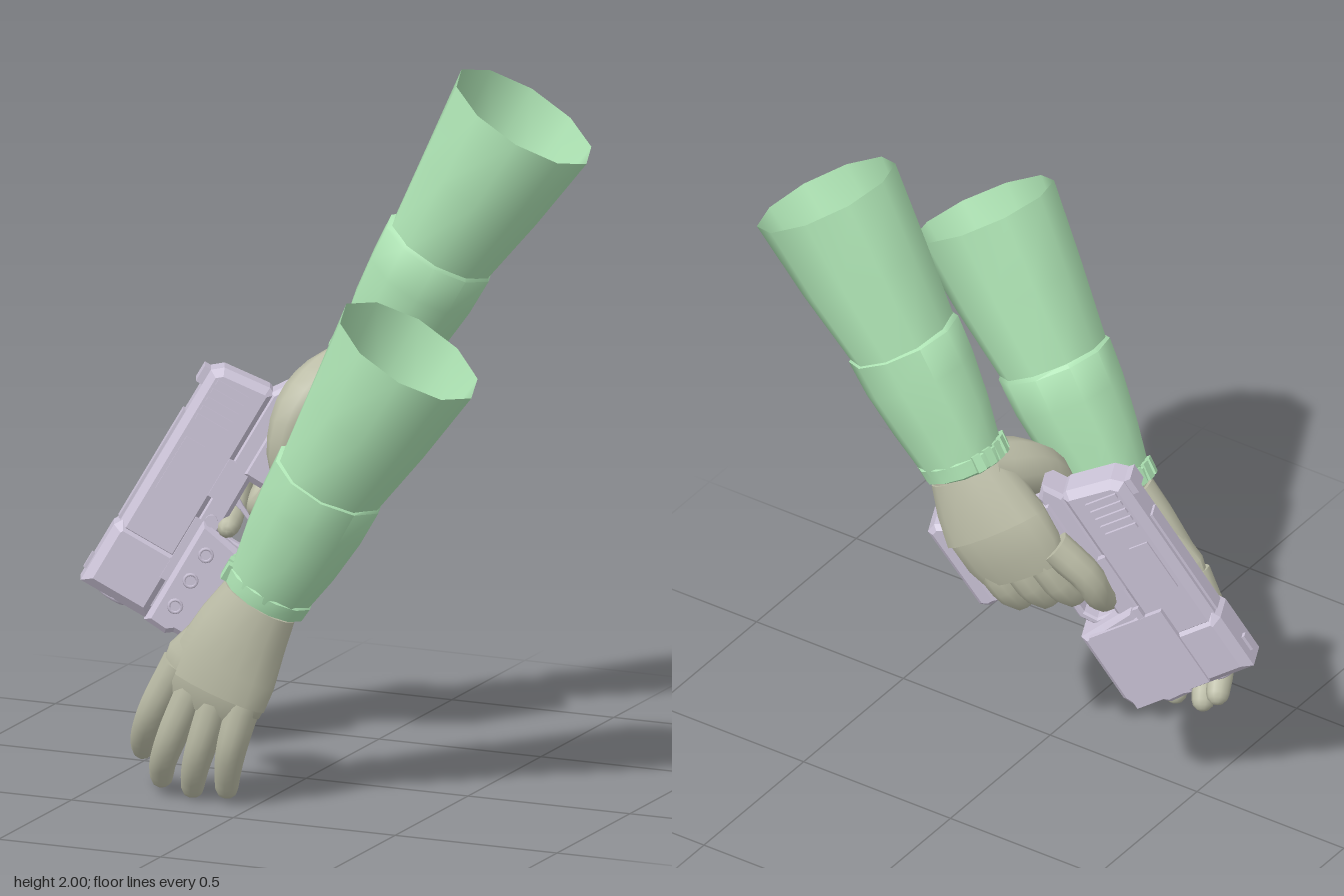
import * as THREE from 'three';
import { toCreasedNormals } from 'three/addons/utils/BufferGeometryUtils.js';

const V = (x, y, z) => new THREE.Vector3(x, y, z);
const green = new THREE.MeshStandardMaterial({ name: 'sleeveGreen', color: 0xaee4b4, side: THREE.DoubleSide });
const beige = new THREE.MeshStandardMaterial({ name: 'gloveBeige', color: 0xbdbea8 });
const gunGrey = new THREE.MeshStandardMaterial({ name: 'pistolGrey', color: 0xcac2d6 });

function add(group, name, geometry, material) {
  const mesh = new THREE.Mesh(geometry, material);
  mesh.name = name;
  group.add(mesh);
  return mesh;
}

// Elliptical cross-sections [x, y, z, radius along side, radius across] joined into a skin
function loft(sections, side, n = 12, capped = true) {
  const pos = [], idx = [], centers = sections.map(s => V(s[0], s[1], s[2]));
  const last = sections.length - 1;
  sections.forEach((s, i) => {
    const t = centers[Math.min(i + 1, last)].clone().sub(centers[Math.max(i - 1, 0)]).normalize();
    const a = side.clone().addScaledVector(t, -side.dot(t)).normalize();
    const b = t.clone().cross(a);
    for (let j = 0; j < n; j++) {
      const ang = (j / n) * Math.PI * 2;
      const p = centers[i].clone().addScaledVector(a, s[3] * Math.cos(ang)).addScaledVector(b, s[4] * Math.sin(ang));
      pos.push(p.x, p.y, p.z);
    }
  });
  for (let i = 0; i < last; i++) for (let j = 0; j < n; j++) {
    const k = (j + 1) % n, a = i * n + j, b = i * n + k;
    idx.push(a, b, b + n, a, b + n, a + n);
  }
  if (capped) {
    const c0 = pos.length / 3;
    pos.push(...centers[0].toArray(), ...centers[last].toArray());
    for (let j = 0; j < n; j++) {
      const k = (j + 1) % n;
      idx.push(c0, k, j, c0 + 1, last * n + j, last * n + k);
    }
  }
  const g = new THREE.BufferGeometry();
  g.setAttribute('position', new THREE.Float32BufferAttribute(pos, 3));
  g.setIndex(idx);
  return toCreasedNormals(g, 0.9);
}

// Finger: a tapering curved tube with a round tip
function finger(points, r0, r1, side) {
  const curve = new THREE.CatmullRomCurve3(points.map(p => V(...p)));
  const steps = 10, rings = [];
  for (let i = 0; i <= steps; i++) {
    const u = i / steps, r = r0 + (r1 - r0) * u;
    rings.push([...curve.getPoint(u).toArray(), r, r]);
  }
  const end = curve.getPoint(1), dir = curve.getTangent(1);
  for (const [k, f] of [[0.45, 0.86], [0.8, 0.52], [0.92, 0.2]])
    rings.push([...end.clone().addScaledVector(dir, r1 * k).toArray(), r1 * f, r1 * f]);
  return loft(rings, side, 10);
}

const armSide = V(0.86, -0.51, 0), armAxis = V(-0.51, -0.86, 0);

// Sleeve in two tiers with a wristband; m mirrors it in z, dy lifts it
function sleeve(name, m, dy) {
  const g = new THREE.Group();
  g.name = name;
  const place = list => list.map(([x, y, z, a, b]) => [x, y + dy, z * m, a, b]);
  add(g, 'upperSleeve', loft(place([
    [0.495, 1.385, 0.395, 0.226, 0.205], [0.37, 1.18, 0.387, 0.195, 0.187], [0.235, 0.968, 0.378, 0.158, 0.157],
  ]), armSide, 10, false), green);
  add(g, 'lowerSleeve', loft(place([
    [0.249, 0.992, 0.379, 0.157, 0.155], [0.243, 0.981, 0.378, 0.171, 0.167], [0.19, 0.885, 0.375, 0.167, 0.16],
    [0.12, 0.765, 0.372, 0.152, 0.137], [0.05, 0.645, 0.37, 0.126, 0.113],
  ]), armSide, 10, false), green);
  add(g, 'wristband', loft(place([
    [0.062, 0.668, 0.37, 0.118, 0.105], [0.058, 0.66, 0.37, 0.136, 0.118],
    [0.037, 0.622, 0.37, 0.131, 0.112], [0.033, 0.614, 0.37, 0.105, 0.09],
  ]), armSide, 12, false), green);
  // Strap ribs on the outer side of the band
  for (let i = 0; i < 5; i++) {
    const f = (i - 2) * 0.3 - 0.1 * m;
    const out = armSide.clone().multiplyScalar(-Math.cos(f)).add(V(0, 0, Math.sin(f)));
    const rib = add(g, 'strapRib', new THREE.BoxGeometry(0.022, 0.026, 0.05), green);
    rib.quaternion.setFromRotationMatrix(new THREE.Matrix4().makeBasis(out, armAxis.clone().cross(out), armAxis));
    rib.position.set(0.048, 0.641 + dy, 0.37 * m).addScaledVector(out, 0.126);
  }
  return g;
}

// Relaxed open hand
function openHand() {
  const g = new THREE.Group();
  g.name = 'openHand';
  const side = V(0.93, -0.36, 0);
  add(g, 'palm', loft([
    [0.05, 0.66, 0.37, 0.1, 0.085], [0.02, 0.59, 0.375, 0.108, 0.088], [-0.03, 0.5, 0.385, 0.13, 0.085],
    [-0.09, 0.39, 0.402, 0.168, 0.072], [-0.115, 0.33, 0.405, 0.162, 0.06], [-0.13, 0.285, 0.405, 0.125, 0.038],
  ], side, 16), beige);
  add(g, 'gloveCuff', loft([
    [0.028, 0.61, 0.378, 0.116, 0.094], [-0.02, 0.52, 0.388, 0.138, 0.092],
    [-0.065, 0.42, 0.403, 0.158, 0.08], [-0.092, 0.345, 0.412, 0.155, 0.066],
  ], side, 16), beige);
  [
    [[-0.21, 0.41, 0.405], [-0.295, 0.26, 0.395], [-0.345, 0.17, 0.345], [-0.372, 0.12, 0.292]],
    [[-0.15, 0.37, 0.41], [-0.23, 0.2, 0.405], [-0.275, 0.11, 0.37], [-0.3, 0.052, 0.325]],
    [[-0.08, 0.35, 0.41], [-0.14, 0.18, 0.405], [-0.175, 0.095, 0.375], [-0.2, 0.034, 0.335]],
    [[0.0, 0.34, 0.405], [-0.045, 0.19, 0.405], [-0.07, 0.11, 0.38], [-0.09, 0.045, 0.345]],
  ].forEach(p => add(g, 'finger', finger(p, 0.052, 0.033, side), beige));
  add(g, 'thumb', finger([[-0.05, 0.485, 0.36], [-0.11, 0.48, 0.28], [-0.17, 0.455, 0.205],
    [-0.22, 0.405, 0.15], [-0.238, 0.36, 0.128]], 0.105, 0.04, V(0, 1, 0)), beige);
  return g;
}

// Pistol frame: forward, down and sideways directions, from the muzzle top
const fwd = V(-0.445, -0.86, 0.25).normalize();
const down = V(0.8, -0.51, -0.33).addScaledVector(fwd, -V(0.8, -0.51, -0.33).dot(fwd)).normalize();
const lateral = fwd.clone().cross(down);
const muzzle = V(-0.65, 0.53, 0.01);
const atGun = ([a, b, c]) => muzzle.clone().addScaledVector(fwd, -a).addScaledVector(down, b).addScaledVector(lateral, c).toArray();

// Hand wrapped around the grip; fingers are given as [back, down, side] on the pistol
function grippingHand() {
  const g = new THREE.Group();
  g.name = 'grippingHand';
  add(g, 'palm', loft([
    [0.05, 1.16, -0.37, 0.1, 0.085], [0.02, 1.09, -0.37, 0.112, 0.088], [-0.02, 1.03, -0.37, 0.135, 0.09],
    [-0.07, 0.96, -0.37, 0.155, 0.083], [-0.12, 0.88, -0.358, 0.152, 0.068], [-0.15, 0.82, -0.35, 0.13, 0.048],
  ], down, 16), beige);
  add(g, 'gloveCuff', loft([
    [0.028, 1.11, -0.37, 0.116, 0.093], [-0.018, 1.035, -0.373, 0.141, 0.095], [-0.07, 0.955, -0.375, 0.16, 0.085],
  ], down, 16), beige);
  add(g, 'indexFinger', finger([[0.6, 0.25, -0.1], [0.47, 0.215, -0.1], [0.38, 0.235, -0.07],
    [0.33, 0.25, -0.01], [0.315, 0.25, 0.045]].map(atGun), 0.052, 0.031, down), beige);
  [0.305, 0.38, 0.45].forEach((b, i) => {
    const k = 0.02 + i * 0.025;
    add(g, 'finger', finger([[0.62, b, -0.1], [0.47 + k, b, -0.1], [0.4 + k, b, -0.065],
      [0.385 + k, b, 0.005], [0.42 + k, b, 0.07], [0.49 + k, b, 0.085]].map(atGun), 0.048, 0.034, down), beige);
  });
  add(g, 'thumb', finger([[0.87, 0.34, -0.03], [0.79, 0.27, 0.05], [0.71, 0.245, 0.095],
    [0.6, 0.27, 0.105], [0.52, 0.32, 0.09]].map(atGun), 0.1, 0.038, down), beige);
  return g;
}

// Bevelled plate from a side profile of [back, down] points
function plate(points, half, bevel = 0.012, hole) {
  const toV = p => new THREE.Vector2(-p[0], -p[1]);
  const shape = new THREE.Shape(points.map(toV));
  if (hole) shape.holes.push(new THREE.Path(hole.map(toV)));
  const g = new THREE.ExtrudeGeometry(shape, {
    depth: 2 * (half - bevel), bevelThickness: bevel, bevelSize: bevel, bevelOffset: -bevel, bevelSegments: 1,
  });
  return g.translate(0, 0, -(half - bevel));
}

function pistol() {
  const g = new THREE.Group();
  g.name = 'pistol';
  new THREE.Matrix4().makeBasis(fwd, down.clone().negate(), lateral.clone().negate())
    .setPosition(muzzle).decompose(g.position, g.quaternion, g.scale);
  const part = (name, geo) => add(g, name, geo, gunGrey);
  const box = (name, a, b, c, la, lb, lc) => part(name, new THREE.BoxGeometry(la, lb, lc)).position.set(-a, -b, -c);

  part('slide', plate([[0.15, -0.02], [0.68, -0.02], [0.705, 0.01], [0.72, 0.15], [0.71, 0.175], [0.15, 0.175]], 0.06, 0.022));
  part('muzzleBlock', plate([[-0.025, -0.03], [0.16, -0.03], [0.185, -0.015], [0.185, 0.16], [0.17, 0.185], [-0.025, 0.185]], 0.068, 0.025));
  part('frame', plate([[0.0, 0.16], [0.71, 0.16], [0.77, 0.2], [0.73, 0.235], [0.0, 0.24]], 0.052));
  part('underBarrelUnit', plate([[-0.03, 0.18], [0.3, 0.18], [0.28, 0.29], [0.265, 0.37], [0.03, 0.37],
    [-0.02, 0.345], [-0.02, 0.27], [-0.035, 0.25]], 0.066, 0.015));
  part('triggerGuard', plate([[0.26, 0.2], [0.48, 0.2], [0.48, 0.3], [0.44, 0.355], [0.31, 0.355], [0.26, 0.32]], 0.024, 0.006,
    [[0.285, 0.215], [0.285, 0.31], [0.32, 0.333], [0.43, 0.333], [0.455, 0.29], [0.455, 0.215]]));
  part('trigger', plate([[0.38, 0.22], [0.41, 0.22], [0.385, 0.26], [0.36, 0.31], [0.35, 0.305], [0.37, 0.26]], 0.012, 0.002));
  part('grip', plate([[0.46, 0.2], [0.72, 0.2], [0.715, 0.27], [0.76, 0.53], [0.49, 0.53], [0.455, 0.4]], 0.058, 0.018));
  part('gripBase', plate([[0.475, 0.515], [0.765, 0.515], [0.78, 0.55], [0.765, 0.58], [0.485, 0.575], [0.47, 0.55]], 0.07, 0.014));
  box('topRib', 0.36, -0.022, 0, 0.36, 0.012, 0.05);
  box('rearSight', 0.655, -0.028, 0, 0.05, 0.024, 0.07);
  box('frontSight', 0.03, -0.032, 0, 0.05, 0.014, 0.02);

  // Muzzle opening
  const bore = part('muzzleRing', new THREE.TorusGeometry(0.036, 0.009, 6, 16));
  bore.position.set(0.024, -0.075, 0);
  bore.rotation.y = Math.PI / 2;

  // Matching details on both sides of the slide
  for (const s of [-1, 1]) {
    for (let i = 0; i < 5; i++) box('slideSerration', 0.55 + i * 0.028, 0.06, 0.062 * s, 0.016, 0.1, 0.012);
    box('slidePanel', 0.4, 0.045, 0.061 * s, 0.17, 0.06, 0.01);
    box('slideCatch', 0.43, 0.165, 0.06 * s, 0.12, 0.025, 0.02);
    box('sideRail', 0.2, 0.165, 0.068 * s, 0.2, 0.02, 0.014);
  }

  // Pins on the outer side, a plain cover on the inner side
  for (const a of [0.05, 0.135, 0.22]) {
    const pin = part('framePin', new THREE.CylinderGeometry(0.02, 0.02, 0.012, 10));
    pin.rotation.x = Math.PI / 2;
    pin.position.set(-a, -0.235, -0.068);
    part('pinRing', new THREE.TorusGeometry(0.018, 0.005, 5, 12)).position.set(-a, -0.235, -0.073);
  }
  const pivot = part('triggerPin', new THREE.CylinderGeometry(0.018, 0.018, 0.016, 10));
  pivot.rotation.x = Math.PI / 2;
  pivot.position.set(-0.31, -0.2, -0.055);
  box('sideCover', 0.13, 0.22, -0.068, 0.27, 0.24, 0.016);
  return g;
}

export function createModel() {
  const model = new THREE.Group();
  model.name = 'armsWithPistol';
  model.add(sleeve('frontSleeve', 1, 0), sleeve('rearSleeve', -1, 0.5), openHand(), grippingHand(), pistol());
  return model;
}
